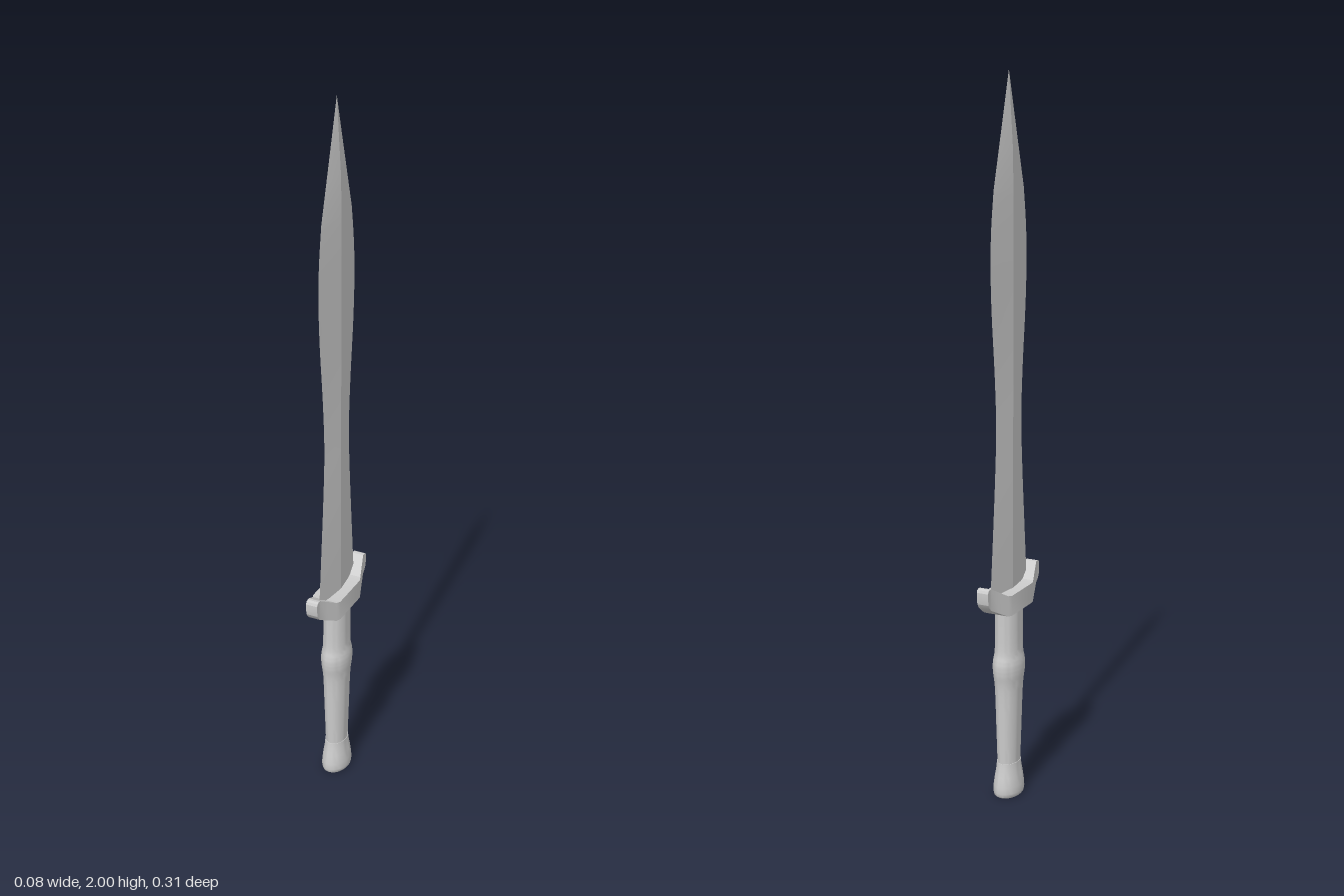
import * as THREE from 'three';
import { toCreasedNormals } from 'three/addons/utils/BufferGeometryUtils.js';

const material = new THREE.MeshStandardMaterial({ color: 0xcccccc });

function add(group, name, geometry) {
  const mesh = new THREE.Mesh(geometry, material);
  mesh.name = name;
  group.add(mesh);
  return mesh;
}

// Joins four-cornered sections; each side is its own strip, so its corners stay sharp.
function loft(sections) {
  const pos = [], index = [];
  for (let side = 0; side < 4; side++) {
    const base = pos.length / 3;
    sections.forEach((s, i) => {
      pos.push(...s[side], ...s[(side + 1) % 4]);
      if (i === 0) return;
      const a = base + 2 * (i - 1);
      index.push(a, a + 1, a + 3, a, a + 3, a + 2);
    });
  }
  // end caps
  for (const [s, order] of [[sections[0], [0, 2, 1, 0, 3, 2]], [sections.at(-1), [0, 1, 2, 0, 2, 3]]]) {
    const base = pos.length / 3;
    s.forEach(p => pos.push(...p));
    index.push(...order.map(k => base + k));
  }
  const geometry = new THREE.BufferGeometry();
  geometry.setAttribute('position', new THREE.Float32BufferAttribute(pos, 3));
  geometry.setIndex(index);
  geometry.computeVertexNormals();
  return geometry;
}

// Leaf-shaped blade: diamond section whose half width follows a smooth curve
function bladeGeometry() {
  const edge = new THREE.SplineCurve([
    [0.111, 0.6], [0.095, 0.78], [0.081, 0.95], [0.075, 1.08], [0.083, 1.22],
    [0.099, 1.38], [0.105, 1.5], [0.101, 1.6], [0.087, 1.7],
  ].map(p => new THREE.Vector2(...p)));
  const outline = edge.getPoints(32).map(p => [p.x, p.y]);
  outline.push([0.058, 1.8], [0.029, 1.9], [0.0005, 2]);
  return loft(outline.map(([w, y]) => {
    const t = 0.013 * Math.min(1, Math.max(0.02, (2 - y) / 0.22));
    return [[0, y, w], [t, y, 0], [0, y, -w], [-t, y, 0]];
  }));
}

// Cross guard: rectangular sections along z, upswept at both tips
function guardGeometry() {
  // z, half thickness, bottom, top
  const half = [
    [0.063, 0.042, 0.555, 0.612], [0.077, 0.037, 0.556, 0.614],
    [0.11, 0.026, 0.573, 0.633], [0.138, 0.017, 0.588, 0.649],
    [0.147, 0.017, 0.596, 0.65], [0.154, 0.017, 0.607, 0.647], [0.157, 0.017, 0.622, 0.64],
  ];
  const stations = [...half.map(([z, ...rest]) => [-z, ...rest]).reverse(), ...half];
  const geometry = loft(stations.map(([z, w, b, t]) => [[-w, b, z], [w, b, z], [w, t, z], [-w, t, z]]));
  return toCreasedNormals(geometry, 0.35);
}

// Turned part, flattened to an oval section
function oval(points) {
  const geometry = new THREE.LatheGeometry(points.map(p => new THREE.Vector2(...p)), 32);
  geometry.scale(0.7, 1, 1);
  return toCreasedNormals(geometry, 0.7);
}

export function createModel() {
  const group = new THREE.Group();
  group.name = 'sword';
  add(group, 'blade', bladeGeometry());
  add(group, 'guard', guardGeometry());

  // Grip with a swelling above the middle
  const grip = new THREE.SplineCurve([
    [0.042, 0.098], [0.046, 0.2], [0.051, 0.32], [0.058, 0.37], [0.058, 0.4], [0.051, 0.44], [0.05, 0.56],
  ].map(p => new THREE.Vector2(...p)));
  add(group, 'grip', oval(grip.getPoints(30).map(p => [p.x, p.y])));

  // Flared pommel
  add(group, 'pommel', oval([
    [0, 0], [0.05, 0], [0.055, 0.004], [0.057, 0.014], [0.056, 0.032],
    [0.051, 0.06], [0.046, 0.082], [0.044, 0.1], [0, 0.1],
  ]));
  return group;
}
